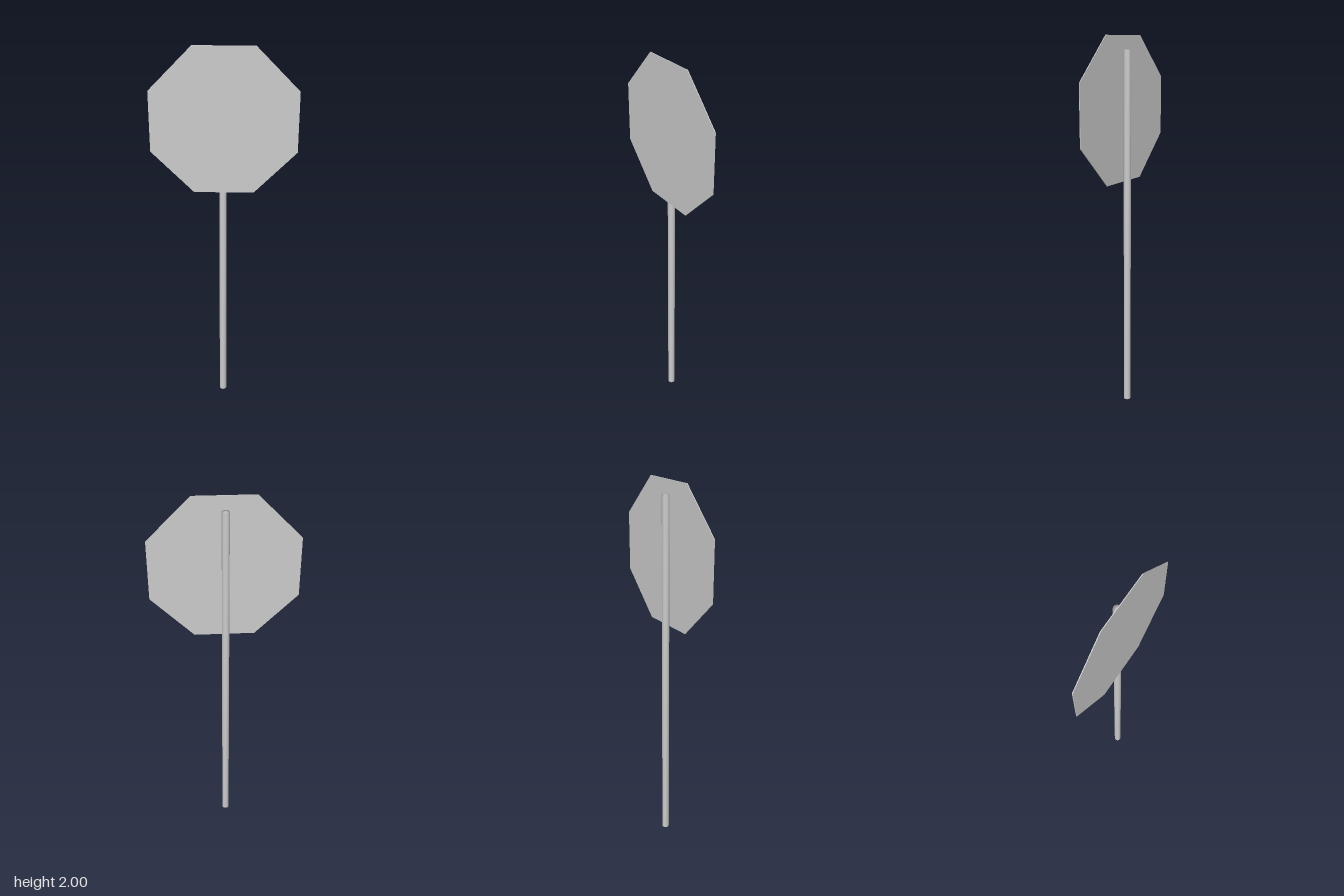
import * as THREE from 'three';
import { mergeVertices } from 'three/addons/utils/BufferGeometryUtils.js';

export function createModel() {
  const group = new THREE.Group();
  group.name = 'roadSign';
  const material = new THREE.MeshStandardMaterial({ color: 0xcccccc });

  // Round post with normals blended over its end caps
  const postHeight = 1.93;
  let postGeometry = new THREE.CylinderGeometry(0.019, 0.019, postHeight, 12);
  postGeometry.deleteAttribute('normal');
  postGeometry.deleteAttribute('uv');
  postGeometry = mergeVertices(postGeometry);
  postGeometry.computeVertexNormals();
  const post = new THREE.Mesh(postGeometry, material);
  post.name = 'post';
  post.position.set(-0.005, postHeight / 2, -0.002);
  group.add(post);

  // Thin octagonal plate on the front of the post, flat edge up
  const apothem = 0.37;
  const radius = apothem / Math.cos(Math.PI / 8);
  const outline = [];
  for (let i = 0; i < 8; i++) {
    const a = (i + 0.5) * Math.PI / 4;
    outline.push(new THREE.Vector2(Math.cos(a) * radius, Math.sin(a) * radius));
  }
  const plateGeometry = new THREE.ExtrudeGeometry(new THREE.Shape(outline), {
    depth: 0.004,
    bevelEnabled: false,
  });
  const plate = new THREE.Mesh(plateGeometry, material);
  plate.name = 'signPlate';
  plate.position.set(0, 2 - apothem, 0.0155);
  group.add(plate);

  return group;
}
